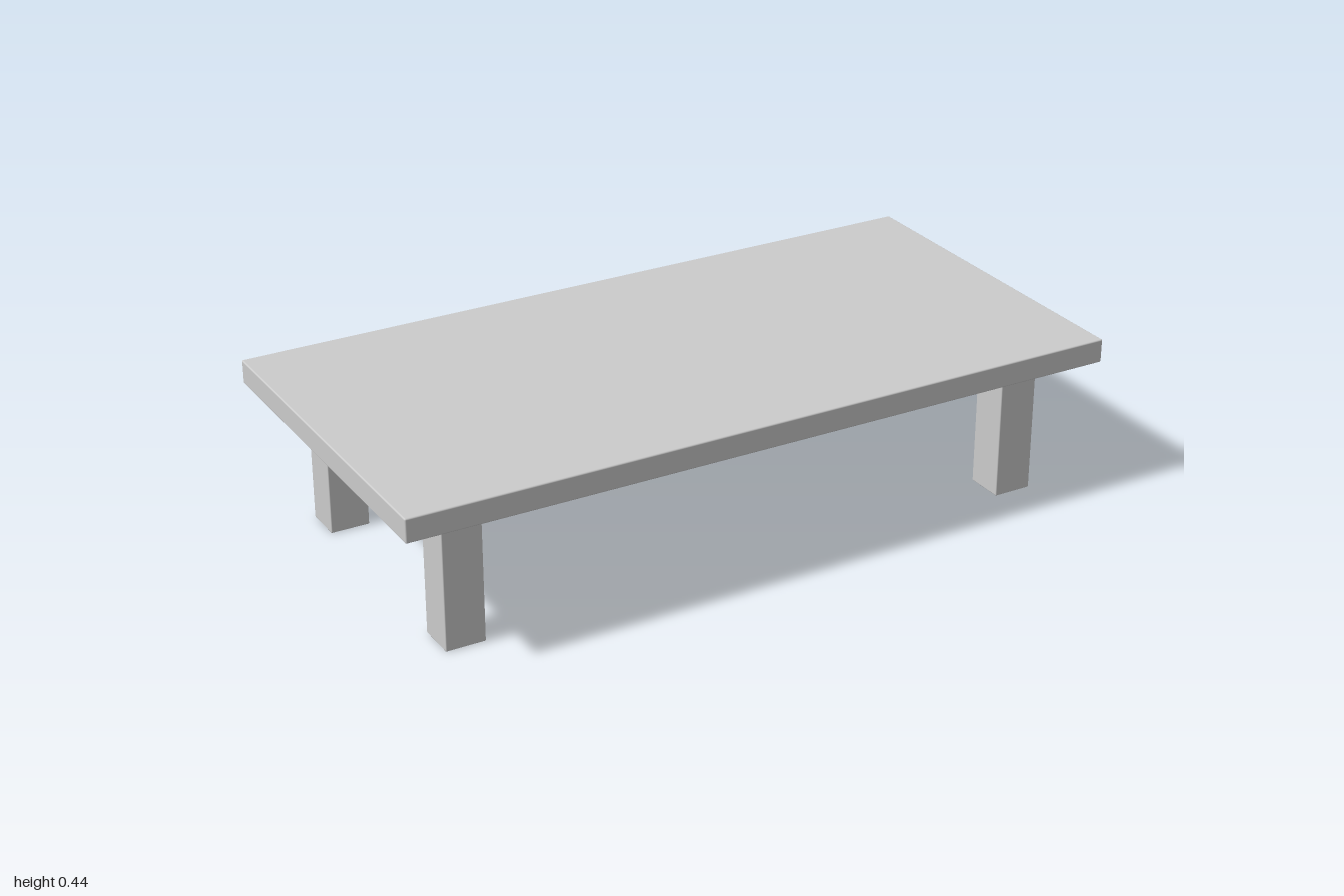
import * as THREE from 'three';
import { RoundedBoxGeometry } from 'three/addons/geometries/RoundedBoxGeometry.js';

const TOP_Y = 0.445, UNDER_Y = 0.38;
const LEG_X = 0.812, LEG_Z = 0.345, LEG_W = 0.108;
const APRON_X = 0.82, APRON_Z = 0.353, APRON_T = 0.03;

export function createModel() {
  const group = new THREE.Group();
  const material = new THREE.MeshStandardMaterial({ color: 0xcccccc });

  const add = (name, geometry, x, y, z, turn = 0) => {
    const mesh = new THREE.Mesh(geometry, material);
    mesh.name = name;
    mesh.position.set(x, y, z);
    mesh.rotation.y = turn;
    group.add(mesh);
  };

  // Slab with softly eased edges
  add('tableTop', new RoundedBoxGeometry(2, TOP_Y - UNDER_Y, 1, 2, 0.004), 0, (TOP_Y + UNDER_Y) / 2, 0);

  // Four square legs
  const leg = new RoundedBoxGeometry(LEG_W, UNDER_Y, LEG_W, 2, 0.003);
  for (const [side, sx] of [['Left', 1], ['Right', -1]]) {
    for (const [end, sz] of [['front', 1], ['back', -1]]) {
      add(`${end}${side}Leg`, leg, sx * LEG_X, UNDER_Y / 2, sz * LEG_Z);
    }
  }

  // Apron rail: lower edge drops near each leg with a small ogee step
  const apron = (half) => {
    const low = 0.314, high = 0.325, a = half - 0.1, b = half - 0.14;
    const shape = new THREE.Shape();
    shape.moveTo(-half, UNDER_Y);
    shape.lineTo(-half, low);
    shape.lineTo(-a, low);
    shape.bezierCurveTo(-a + 0.015, low, -b - 0.015, high, -b, high);
    shape.lineTo(b, high);
    shape.bezierCurveTo(b + 0.015, high, a - 0.015, low, a, low);
    shape.lineTo(half, low);
    shape.lineTo(half, UNDER_Y);
    return new THREE.ExtrudeGeometry(shape, { depth: APRON_T, bevelEnabled: false, curveSegments: 6 })
      .translate(0, 0, -APRON_T / 2);
  };
  const longApron = apron(LEG_X - LEG_W / 2);
  const shortApron = apron(LEG_Z - LEG_W / 2);
  add('frontApron', longApron, 0, 0, APRON_Z);
  add('backApron', longApron, 0, 0, -APRON_Z);
  add('leftApron', shortApron, APRON_X, 0, 0, Math.PI / 2);
  add('rightApron', shortApron, -APRON_X, 0, 0, Math.PI / 2);

  return group;
}
